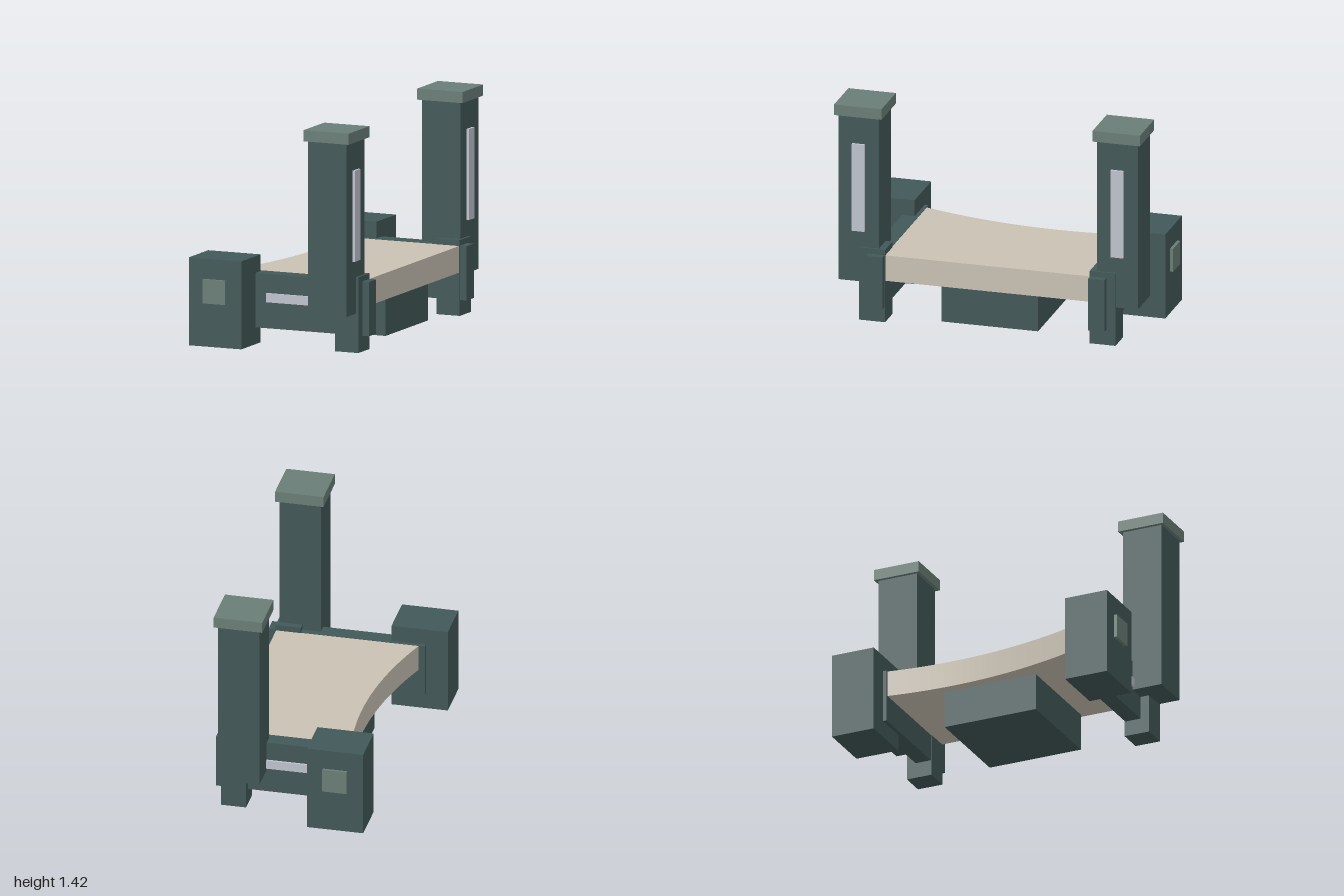
import * as THREE from 'three';

export function createModel() {
  const mat = (name, color) => {
    const m = new THREE.MeshStandardMaterial({ color });
    m.name = name;
    return m;
  };
  const teal = mat('dark teal', 0x425858);
  const sage = mat('grey green', 0x6a7d77);
  const silver = mat('pale lavender', 0xbfc3ce);
  const cream = mat('warm beige', 0xc9c1b3);

  const model = new THREE.Group();
  model.name = 'bridge';

  // Box given by its extents on each axis
  const box = (parent, name, material, [x0, x1], [y0, y1], [z0, z1]) => {
    const mesh = new THREE.Mesh(new THREE.BoxGeometry(x1 - x0, y1 - y0, Math.abs(z1 - z0)), material);
    mesh.position.set((x0 + x1) / 2, (y0 + y1) / 2, (z0 + z1) / 2);
    mesh.name = name;
    parent.add(mesh);
  };

  // Both sides share their layout; the low block and rail start differ
  const sides = [
    { name: 'frontSide', s: 1, blockX: -0.57, railX: -0.43 },
    { name: 'backSide', s: -1, blockX: -0.42, railX: -0.285 },
  ];
  for (const { name, s, blockX, railX } of sides) {
    const side = new THREE.Group();
    side.name = name;
    model.add(side);
    const z = (a, b) => [s * a, s * b];

    // Low end block with its outer plaque
    box(side, 'endBlock', teal, [blockX, blockX + 0.36], [0, 0.555], z(0.693, 0.98));
    box(side, 'blockPlaque', sage, [blockX + 0.103, blockX + 0.257], [0.275, 0.427], z(0.97, 1));

    // Side rail with its strip
    box(side, 'rail', teal, [railX, 0.57], [0.107, 0.45], z(0.668, 0.773));
    const mid = (railX + 0.57) / 2, half = (0.57 - railX) * 0.2;
    box(side, 'railStrip', silver, [mid - half, mid + half], [0.273, 0.33], z(0.765, 0.787));

    // Leg under the tower
    box(side, 'leg', teal, [0.363, 0.524], [0.007, 0.485], z(0.664, 0.832));

    // Tower, cap and narrow window
    box(side, 'tower', teal, [0.245, 0.508], [0.255, 1.347], z(0.708, 0.972));
    box(side, 'towerCap', sage, [0.222, 0.532], [1.347, 1.417], z(0.685, 0.993));
    box(side, 'towerWindow', silver, [0.5, 0.524], [0.59, 1.165], z(0.799, 0.881));
  }

  // Deck with one curved long edge (shape drawn in x and -z, then laid flat)
  const deckShape = new THREE.Shape();
  const edgeX = z => -0.235 - 0.19 * (z + 0.235) ** 2;
  const end = 0.68, steps = 32;
  deckShape.moveTo(0.52, -end);
  deckShape.lineTo(0.52, end);
  for (let i = 0; i <= steps; i++) {
    const z = -end + (2 * end * i) / steps;
    deckShape.lineTo(edgeX(z), -z);
  }
  const deckGeometry = new THREE.ExtrudeGeometry(deckShape, { depth: 0.168, bevelEnabled: false });
  deckGeometry.rotateX(-Math.PI / 2);
  const deck = new THREE.Mesh(deckGeometry, cream);
  deck.position.y = 0.28;
  deck.name = 'deck';
  model.add(deck);

  // Box hanging below the deck
  box(model, 'underBox', teal, [-0.19, 0.47], [0.03, 0.27], [-0.313, 0.313]);

  return model;
}
